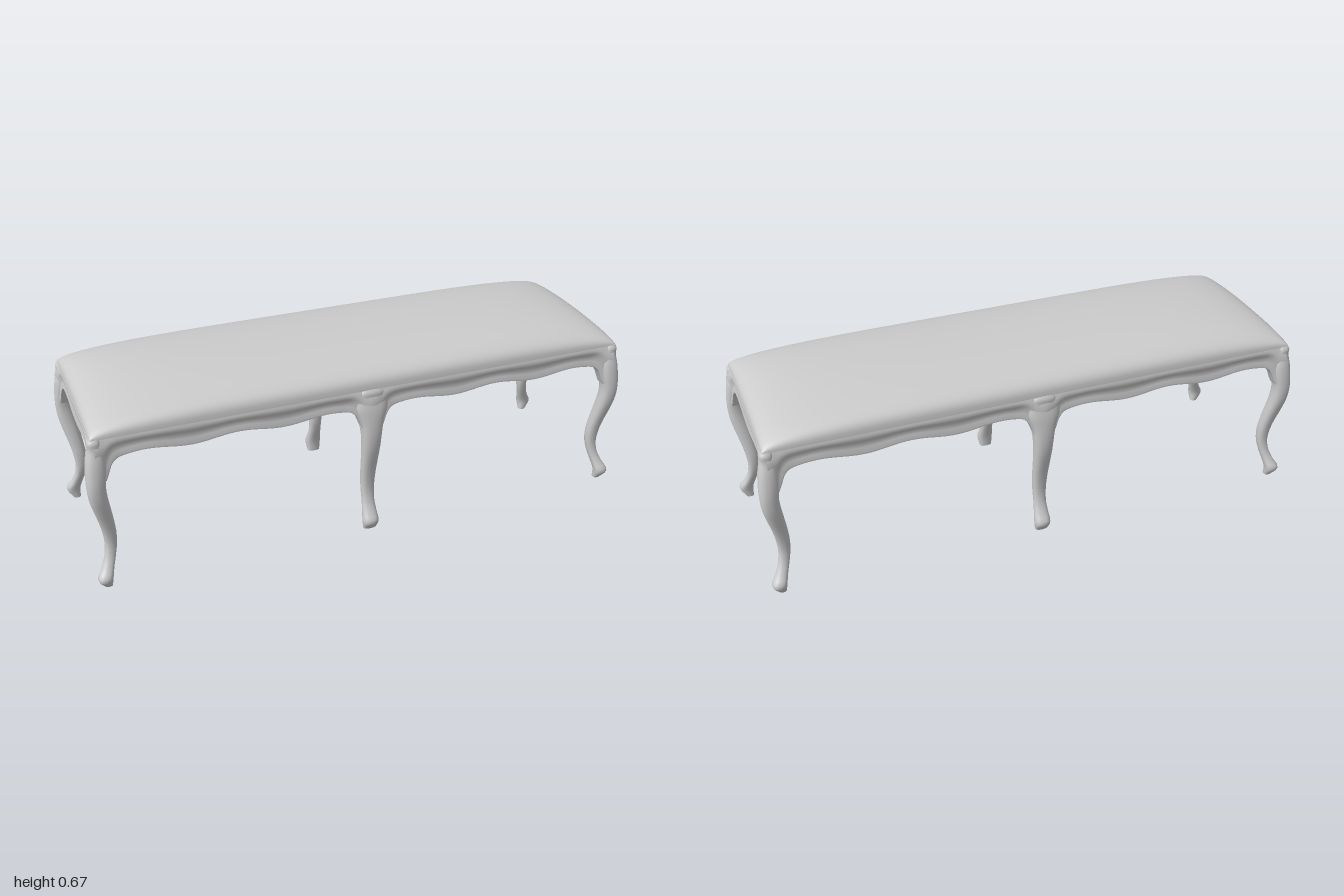
import * as THREE from 'three';
import { toCreasedNormals } from 'three/addons/utils/BufferGeometryUtils.js';

const HALF_X = 0.972, HALF_Z = 0.307;   // seat frame half sizes
const LEG_X = 0.968, LEG_Z = 0.303;     // corner leg centres at the knee
const material = new THREE.MeshStandardMaterial({ color: 0xcccccc, side: THREE.DoubleSide });

// Surface from a rule f(u, v) -> [x, y, z]; it faces along v cross u.
function surface(nu, nv, f, crease = 0.8) {
  const pos = [], index = [];
  for (let i = 0; i <= nu; i++)
    for (let j = 0; j <= nv; j++) pos.push(...f(i / nu, j / nv, j));
  for (let i = 0; i < nu; i++)
    for (let j = 0; j < nv; j++) {
      const a = i * (nv + 1) + j, c = a + nv + 1;
      index.push(a, a + 1, c, c, a + 1, c + 1);
    }
  const geo = new THREE.BufferGeometry();
  geo.setAttribute('position', new THREE.Float32BufferAttribute(pos, 3));
  geo.setIndex(index);
  geo.scale(1000, 1000, 1000); // keeps fine detail apart while normals are merged
  const creased = toCreasedNormals(geo, crease);
  creased.scale(0.001, 0.001, 0.001);
  return creased;
}

function mesh(name, geo) {
  const m = new THREE.Mesh(geo, material);
  m.name = name;
  return m;
}

// Domed cushion, flatter along its length than across.
function cushion() {
  const ease = t => Math.sin((t - 0.5) * Math.PI);
  return mesh('cushion', surface(64, 40, (u, v) => {
    const a = ease(u), b = ease(v);
    const dome = Math.max(0, 1 - Math.abs(a) ** 5) ** 0.35 * Math.max(0, 1 - b * b) ** 0.35;
    return [a * 0.974, 0.573 + 0.101 * dome, b * 0.31];
  }, 1.2));
}

// Leg rows: outer edge, height, inner edge, half width of a middle leg.
const LEG_ROWS = [
  [0.312, 0, 0.285, 0.024], [0.333, 0.035, 0.282, 0.029], [0.315, 0.07, 0.273, 0.026],
  [0.300, 0.105, 0.262, 0.023], [0.293, 0.15, 0.252, 0.024], [0.297, 0.2, 0.250, 0.026],
  [0.307, 0.25, 0.255, 0.028], [0.320, 0.3, 0.262, 0.030], [0.331, 0.35, 0.269, 0.033],
  [0.335, 0.4, 0.272, 0.037], [0.333, 0.45, 0.265, 0.045], [0.327, 0.5, 0.262, 0.062],
  [0.318, 0.54, 0.268, 0.058], [0.318, 0.562, 0.272, 0.050], [0.312, 0.574, 0.275, 0.042],
];
const edgeCurve = new THREE.CatmullRomCurve3(LEG_ROWS.map(r => new THREE.Vector3(r[0], r[1], r[2])));
const widthCurve = new THREE.CatmullRomCurve3(LEG_ROWS.map(r => new THREE.Vector3(r[3], r[1], 0)));

// Cabriole leg; sx is -1, 0 or 1 along the bench, sz is the front or back.
function leg(name, sx, sz) {
  const n = 44;
  const soft = t => Math.sign(t) * Math.abs(t) ** 0.8;
  return mesh(name, surface(20, n + 2, (u, v, j) => {
    const t = THREE.MathUtils.clamp((j - 1) / n, 0, 1);
    const p = edgeCurve.getPoint(t);
    const centre = (p.x + p.z) / 2;
    const r = j === 0 || j === n + 2 ? 0 : (p.x - p.z) / 2; // end caps close to a point
    const w = sx ? r : r && widthCurve.getPoint(t).x;
    const a = u * Math.PI * 2;
    return [
      sx * (centre + LEG_X - LEG_Z) + w * soft(Math.cos(a)),
      Math.max(0, p.y),
      sz * centre + r * soft(Math.sin(a)),
    ];
  }, 0.9));
}

// Apron section: fraction of the way down, and offset outwards.
const APRON = [
  [0, -0.002], [0.16, 0.003], [0.34, 0.002], [0.46, -0.005], [0.7, -0.004],
  [0.88, 0.001], [0.97, 0], [1, -0.006], [1, -0.026], [0.3, -0.028],
];

// Scalloped rail that drops and swells outwards where it meets a leg.
function apron(name, half, out, wave, legDistance, place) {
  return mesh(name, surface(Math.round(half * 200), APRON.length - 1, (u, v, j) => {
    const s = (u * 2 - 1) * half, d = legDistance(s);
    const bottom = Math.max(0.42, wave(s) - 0.2 * Math.exp(-((d / 0.037) ** 2)));
    const [t, o] = APRON[j];
    const swell = j < 8 ? 0.02 * Math.exp(-((d / 0.05) ** 2)) * Math.min(1, t * 2.2) : 0;
    return place(s, 0.577 + (bottom - 0.577) * t, out + o + swell);
  }));
}

export function createModel() {
  const group = new THREE.Group();
  group.name = 'bench';
  group.add(cushion());

  // underside of the seat
  const base = mesh('seatBase', new THREE.BoxGeometry(1.92, 0.02, 0.59));
  base.position.y = 0.537;
  group.add(base);

  // long and short aprons, each pair turned half round
  const longWave = s => 0.497 + 0.008 * Math.cos(2 * Math.PI * (Math.abs(s) - 0.16) / 0.32);
  const shortWave = s => 0.493 - 0.01 * Math.cos(Math.PI * s / 0.18);
  const longGap = s => Math.min(Math.abs(s), LEG_X - Math.abs(s));
  const shortGap = s => LEG_Z - Math.abs(s);
  for (const k of [1, -1]) {
    group.add(apron(k > 0 ? 'frontApron' : 'backApron', 0.964, HALF_Z, longWave, longGap,
      (s, y, o) => [k * s, y, k * o]));
    group.add(apron(k > 0 ? 'leftApron' : 'rightApron', 0.3, HALF_X, shortWave, shortGap,
      (s, y, o) => [k * o, y, -k * s]));
  }

  // three legs along the front and three along the back
  for (const sz of [1, -1])
    for (const sx of [-1, 0, 1])
      group.add(leg((sz > 0 ? 'front' : 'back') + ['Right', 'Middle', 'Left'][sx + 1] + 'Leg', sx, sz));
  return group;
}
